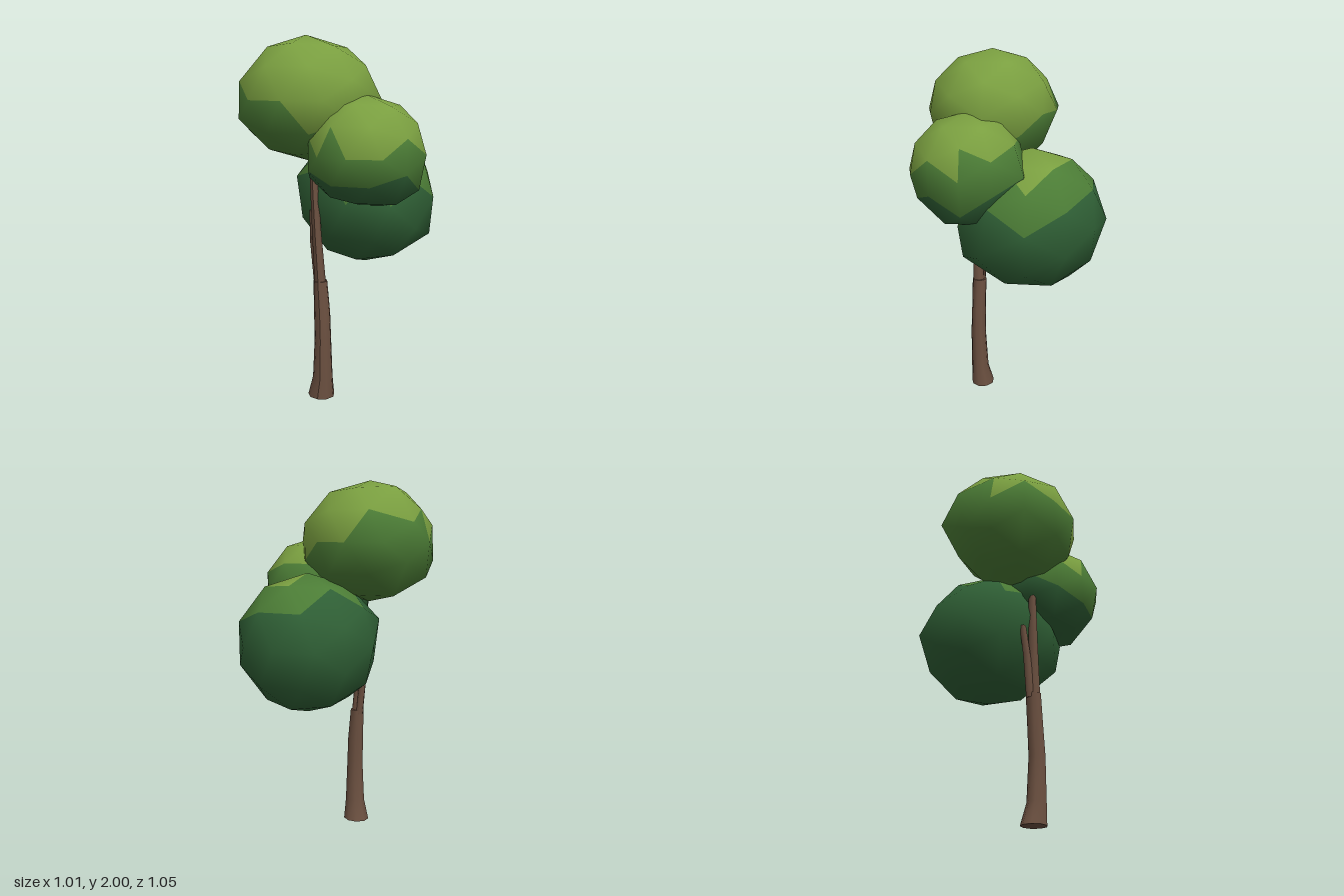
import * as THREE from 'three';
import { mergeVertices } from 'three/addons/utils/BufferGeometryUtils.js';

const paint = (color) => new THREE.MeshStandardMaterial({ color });
const BARK = paint(0x6b5040);
const LEAVES = { light: paint(0x7a9f40), mid: paint(0x4c7d36), dark: paint(0x2f5f35) };

// Tapered limb: a cylinder whose rings follow sections [x, y, z, radiusX, radiusZ]
function limb(name, sections, sides) {
  const rows = sections.length - 1;
  const geo = new THREE.CylinderGeometry(1, 1, 1, sides, rows);
  const p = geo.attributes.position;
  for (let i = 0; i < p.count; i++) {
    const [x, y, z, rx, rz] = sections[Math.round((p.getY(i) + 0.5) * rows)];
    p.setXYZ(i, x + p.getX(i) * rx, y, z + p.getZ(i) * rz);
  }
  geo.computeVertexNormals();
  const mesh = new THREE.Mesh(geo, BARK);
  mesh.name = name;
  return mesh;
}

// Leaf clump: a slightly uneven icosphere, its faces split into colour bands
// along a tilted height. plus / minus are the radii of each half axis,
// bumps nudge single corners.
function clump({ name, center, plus, minus, bumps, tilt, lightFrom, darkBelow }) {
  const raw = new THREE.IcosahedronGeometry(1, 1).rotateY(Math.PI / 2);
  raw.deleteAttribute('uv');
  raw.deleteAttribute('normal');
  const ball = mergeVertices(raw);
  const unit = ball.toNonIndexed().attributes.position;

  const p = ball.attributes.position;
  const v = new THREE.Vector3();
  for (let i = 0; i < p.count; i++) {
    v.fromBufferAttribute(p, i);
    const moved = v.toArray().map((c, k) => center[k] + c * (c > 0 ? plus[k] : minus[k]));
    for (const { at, by } of bumps) {
      if (v.distanceTo(new THREE.Vector3(...at)) < 0.1) by.forEach((d, k) => { moved[k] += d; });
    }
    p.setXYZ(i, ...moved);
  }
  ball.computeVertexNormals();
  const faces = ball.toNonIndexed();

  // Sort the triangles into bands
  const bands = { light: [], mid: [], dark: [] };
  for (let i = 0; i < unit.count; i += 3) {
    let height = 0;
    for (let k = i; k < i + 3; k++) {
      height += (unit.getY(k) + tilt[0] * unit.getX(k) + tilt[1] * unit.getZ(k)) / 3;
    }
    const band = height > lightFrom ? 'light' : height < darkBelow ? 'dark' : 'mid';
    bands[band].push(i, i + 1, i + 2);
  }

  const group = new THREE.Group();
  group.name = name;
  for (const [band, index] of Object.entries(bands)) {
    if (!index.length) continue;
    const part = faces.clone();
    part.setIndex(index);
    const mesh = new THREE.Mesh(part.toNonIndexed(), LEAVES[band]);
    mesh.name = `${band}Leaves`;
    group.add(mesh);
  }
  return group;
}

export function createModel() {
  const tree = new THREE.Group();
  tree.name = 'tree';

  // Trunk with flared foot, and the two branches rising from its top
  tree.add(
    limb('trunk', [
      [-0.07, 0, 0.189, 0.076, 0.068],
      [-0.056, 0.115, 0.202, 0.057, 0.051],
      [-0.052, 0.35, 0.208, 0.047, 0.044],
      [-0.057, 0.5, 0.204, 0.046, 0.042],
      [-0.068, 0.685, 0.2, 0.038, 0.041],
    ], 9),
    limb('tallBranch', [
      [-0.067, 0.66, 0.203, 0.032, 0.034],
      [-0.083, 0.95, 0.21, 0.026, 0.026],
      [-0.096, 1.24, 0.215, 0.021, 0.021],
      [-0.105, 1.5, 0.2, 0.017, 0.017],
    ], 7),
    limb('shortBranch', [
      [-0.085, 0.66, 0.19, 0.022, 0.024],
      [-0.112, 0.9, 0.182, 0.02, 0.02],
      [-0.122, 1.07, 0.165, 0.018, 0.018],
    ], 7),
  );

  // Crown of three clumps
  tree.add(
    clump({
      name: 'topClump',
      center: [-0.165, 1.67, 0.125],
      plus: [0.385, 0.33, 0.367], minus: [0.345, 0.33, 0.36],
      bumps: [
        { at: [1, 0, 0], by: [0.03, 0, 0] },
        { at: [0.526, 0, -0.851], by: [-0.02, 0, 0.01] },
        { at: [-0.526, 0, -0.851], by: [-0.03, 0, -0.05] },
        { at: [-0.526, 0, 0.851], by: [-0.015, 0, 0] },
        { at: [-0.809, 0.309, 0.5], by: [-0.025, -0.01, 0] },
        { at: [-0.809, -0.309, 0.5], by: [-0.035, 0, 0] },
        { at: [-0.809, 0.309, -0.5], by: [-0.04, 0, -0.025] },
        { at: [-0.851, -0.526, 0], by: [-0.035, -0.015, 0] },
        { at: [-0.5, 0.809, -0.309], by: [-0.015, 0.02, 0] },
        { at: [-0.5, -0.809, -0.309], by: [-0.01, -0.02, 0] },
      ],
      tilt: [0.35, 0.2], lightFrom: -0.03, darkBelow: -2,
    }),
    clump({
      name: 'frontClump',
      center: [0.18, 1.4, 0.2],
      plus: [0.325, 0.3, 0.325], minus: [0.31, 0.28, 0.305],
      bumps: [
        { at: [0.526, 0, -0.851], by: [0, 0, -0.045] },
        { at: [-0.851, -0.526, 0], by: [-0.04, 0, 0] },
        { at: [0.851, -0.526, 0], by: [0.015, -0.035, 0] },
        { at: [0.5, -0.809, 0.309], by: [0.03, -0.02, 0] },
        { at: [0.5, -0.809, -0.309], by: [0.03, -0.02, 0] },
      ],
      tilt: [0.15, 0.3], lightFrom: 0.396, darkBelow: -0.2,
    }),
    clump({
      name: 'backClump',
      center: [0.1, 1.13, -0.12],
      plus: [0.39, 0.375, 0.39], minus: [0.39, 0.4, 0.405],
      bumps: [
        { at: [0.851, -0.526, 0], by: [0.04, 0, 0] },
        { at: [-0.851, -0.526, 0], by: [-0.015, 0, 0] },
        { at: [-0.526, 0, -0.851], by: [-0.01, 0, -0.015] },
        { at: [0.526, 0, 0.851], by: [0.03, 0, 0.03] },
        { at: [0.809, -0.309, 0.5], by: [0.03, -0.01, 0.05] },
        { at: [0.309, -0.5, 0.809], by: [0.02, 0, 0.04] },
        { at: [-0.809, 0.309, 0.5], by: [-0.02, 0, 0.03] },
      ],
      tilt: [0.35, 0.1], lightFrom: 0.85, darkBelow: 0.4,
    }),
  );
  return tree;
}
